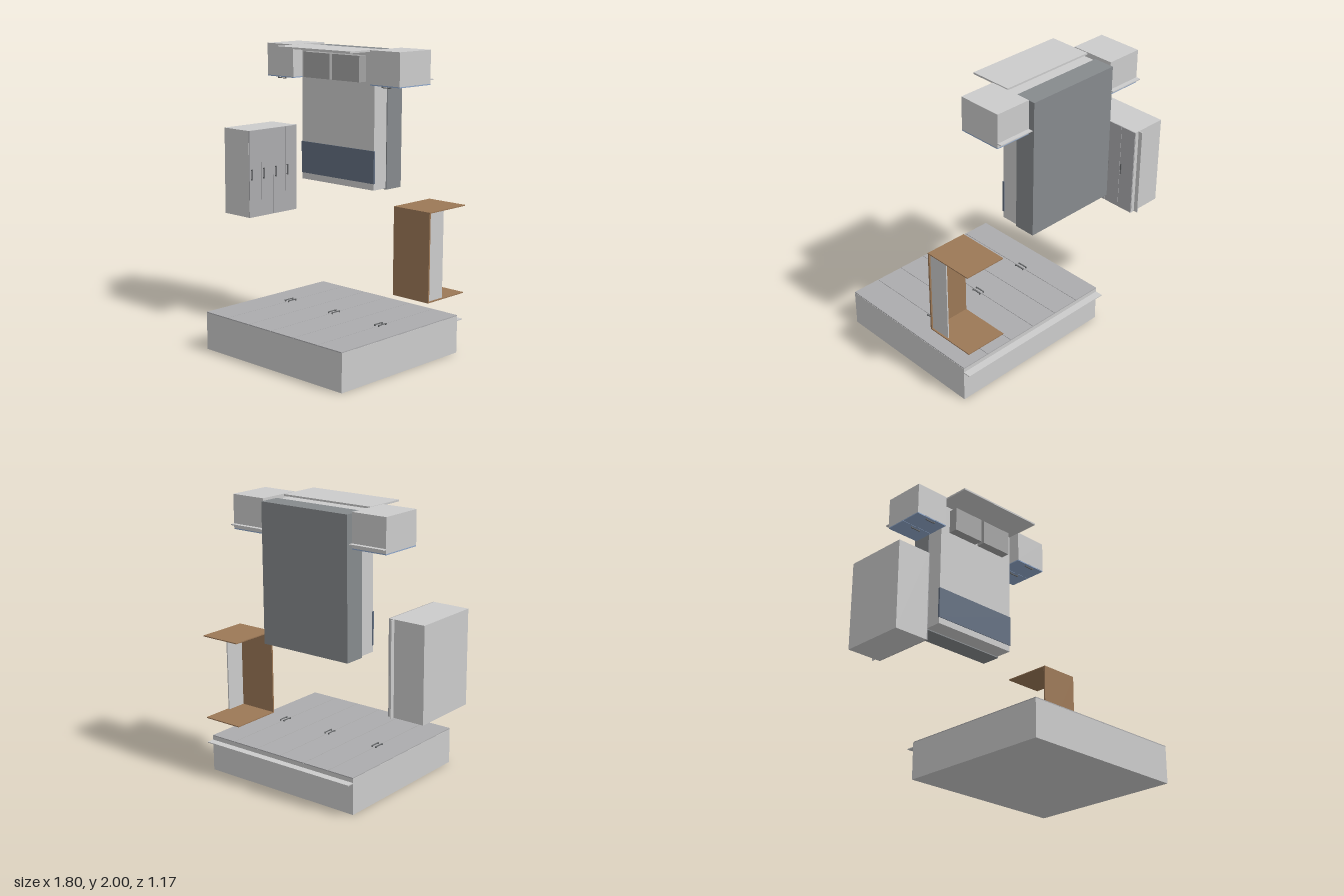
import * as THREE from 'three';

const material = (color) => new THREE.MeshStandardMaterial({ color });
const M = {
  body: material(0xcccccc), front: material(0xacacae), base: material(0x868a8d),
  pillow: material(0xa3a3a3), blanket: material(0x626e80), wood: material(0x9c7856),
  drawer: material(0x8fa7ca), metal: material(0x66686a),
};

// Box given by its limits on each axis
function box(parent, name, mat, [x0, x1], [y0, y1], [z0, z1]) {
  const mesh = new THREE.Mesh(new THREE.BoxGeometry(x1 - x0, y1 - y0, z1 - z0), mat);
  mesh.position.set((x0 + x1) / 2, (y0 + y1) / 2, (z0 + z1) / 2);
  mesh.name = name;
  parent.add(mesh);
  return mesh;
}

function group(parent, name) {
  const g = new THREE.Group();
  g.name = name;
  parent.add(g);
  return g;
}

// Bar pull standing off its panel on two short posts; runs along local x, faces local +z
function handle(parent, length, position, rotation) {
  const h = group(parent, 'handle');
  box(h, 'handleBar', M.metal, [-length / 2, length / 2], [-0.004, 0.004], [0.006, 0.011]);
  for (const s of [-1, 1]) {
    const x = s * (length / 2 - 0.005);
    box(h, 'handlePost', M.metal, [x - 0.004, x + 0.004], [-0.004, 0.004], [0, 0.007]);
  }
  h.position.set(...position);
  h.rotation.set(...rotation);
}

// Wardrobe lying on its back: six doors, three pairs of pulls, recessed plinth
function wardrobe(parent) {
  const g = group(parent, 'wardrobe');
  const x0 = -0.345, width = 1.24 / 6, gap = 0.0015;
  box(g, 'wardrobeCarcass', M.body, [x0, 0.895], [0, 0.253], [-0.535, 0.585]);
  box(g, 'wardrobePlinth', M.body, [x0, 0.895], [0.218, 0.225], [-0.588, -0.535]);
  for (let i = 0; i < 6; i++) {
    const x = x0 + i * width;
    box(g, 'wardrobeDoor', M.front, [x + gap, x + width - gap], [0.253, 0.26], [-0.535, 0.585]);
    const hx = i % 2 ? x + 0.016 : x + width - 0.016;
    handle(g, 0.078, [hx, 0.26, 0], [-Math.PI / 2, 0, Math.PI / 2]);
  }
}

// Bed with a separate headboard panel
function bed(parent) {
  const g = group(parent, 'bed');
  box(g, 'bedBase', M.base, [-0.345, 0.342], [1.047, 1.987], [-0.588, -0.44]);
  box(g, 'mattress', M.body, [-0.338, 0.335], [1.055, 1.98], [-0.44, -0.317]);
  box(g, 'blanket', M.blanket, [-0.341, 0.338], [1.1, 1.323], [-0.326, -0.312]);
  for (const x of [-0.26, 0.01]) {
    box(g, 'pillow', M.pillow, [x, x + 0.246], [1.782, 1.957], [-0.317, -0.25]);
  }
  box(g, 'headboard', M.body, [-0.352, 0.346], [1.988, 2], [-0.365, -0.065]);
}

// Nightstand with two drawers facing -y
function nightstand(parent, x0) {
  const g = group(parent, 'nightstand');
  const x1 = x0 + 0.256, mid = (x0 + x1) / 2;
  box(g, 'nightstandCarcass', M.body, [x0, x1], [1.776, 2], [-0.557, -0.247]);
  box(g, 'nightstandPlinth', M.body, [x0, x1], [1.8, 1.807], [-0.588, -0.557]);
  for (const z of [-0.557, -0.402]) {
    box(g, 'nightstandDrawer', M.drawer, [x0, x1], [1.769, 1.776], [z + 0.001, z + 0.154]);
    handle(g, 0.078, [mid, 1.769, z + 0.137], [Math.PI / 2, 0, 0]);
  }
}

// Chest with four drawers facing +x
function chest(parent) {
  const g = group(parent, 'chest');
  box(g, 'chestCarcass', M.body, [-0.9, -0.645], [0.757, 1.385], [-0.558, -0.084]);
  box(g, 'chestPlinth', M.body, [-0.68, -0.673], [0.757, 1.385], [-0.588, -0.558]);
  for (let i = 0; i < 4; i++) {
    const top = -0.084 - i * 0.1185;
    box(g, 'chestDrawer', M.front, [-0.645, -0.638], [0.757, 1.385], [top - 0.117, top - 0.001]);
    handle(g, 0.078, [-0.638, 1.068, top - 0.017], [0, Math.PI / 2, Math.PI / 2]);
  }
}

// Desk: top, two side panels and a short back panel
function desk(parent) {
  const g = group(parent, 'desk');
  const x = [0.597, 0.897];
  box(g, 'deskTop', M.wood, x, [0.402, 1], [-0.235, -0.224]);
  for (const y of [0.402, 0.993]) {
    box(g, 'deskSide', M.wood, x, [y, y + 0.007], [-0.588, -0.235]);
  }
  box(g, 'deskBackPanel', M.body, [0.877, 0.886], [0.409, 0.993], [-0.38, -0.235]);
}

export function createModel() {
  const model = new THREE.Group();
  model.name = 'bedroomSet';
  wardrobe(model);
  bed(model);
  for (const x of [-0.615, 0.355]) nightstand(model, x);
  chest(model);
  desk(model);
  return model;
}
